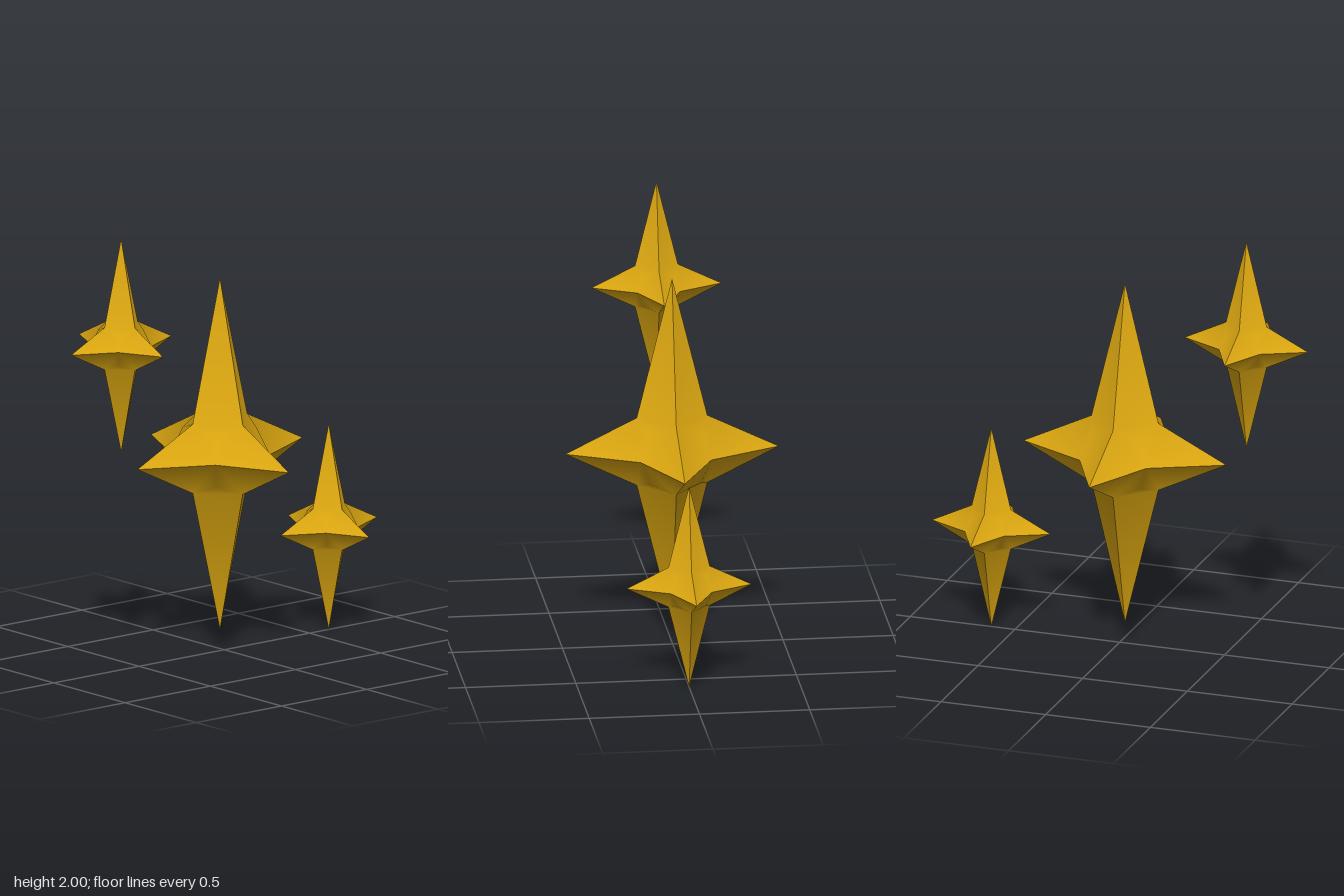
import * as THREE from 'three';

const gold = new THREE.MeshStandardMaterial({ color: 0xd9a510 });
gold.name = 'gold';

// Six-pointed star built from eight mirrored octants: smooth inside, sharp where they meet.
function starGeometry() {
  const tip = 1, tall = 1.68, valley = 0.33, corner = 0.245;
  const octant = [
    [tip, 0, 0], [0, tall, 0], [0, 0, tip],                               // tips
    [valley, valley, 0], [0, valley, valley], [valley, 0, valley],        // valleys between tips
    [corner, corner, corner],                                             // middle of the octant
  ];
  const faces = [
    [0, 3, 5], [1, 4, 3], [2, 5, 4],    // spike sides
    [3, 6, 5], [4, 6, 3], [5, 6, 4],    // shallow centre
  ];
  const positions = [], index = [];
  for (const sx of [1, -1]) for (const sy of [1, -1]) for (const sz of [1, -1]) {
    const base = positions.length / 3;
    for (const [x, y, z] of octant) positions.push(x * sx, y * sy, z * sz);
    // Mirrored octants need the corner order reversed
    for (const [a, b, c] of faces) {
      if (sx * sy * sz > 0) index.push(base + a, base + b, base + c);
      else index.push(base + a, base + c, base + b);
    }
  }
  const geometry = new THREE.BufferGeometry();
  geometry.setAttribute('position', new THREE.Float32BufferAttribute(positions, 3));
  geometry.setIndex(index);
  geometry.computeVertexNormals();
  return geometry;
}

export function createModel() {
  const group = new THREE.Group();
  group.name = 'sparkles';
  const geometry = starGeometry();
  const stars = [
    ['largeStar', -0.025, 0.915, 0.485],
    ['upperStar', -0.605, 1.504, 0.295],
    ['lowerStar', 0.613, 0.48, 0.284],
  ];
  for (const [name, x, y, size] of stars) {
    const star = new THREE.Mesh(geometry, gold);
    star.name = name;
    star.position.set(x, y, 0);
    star.scale.setScalar(size);
    group.add(star);
  }
  return group;
}
